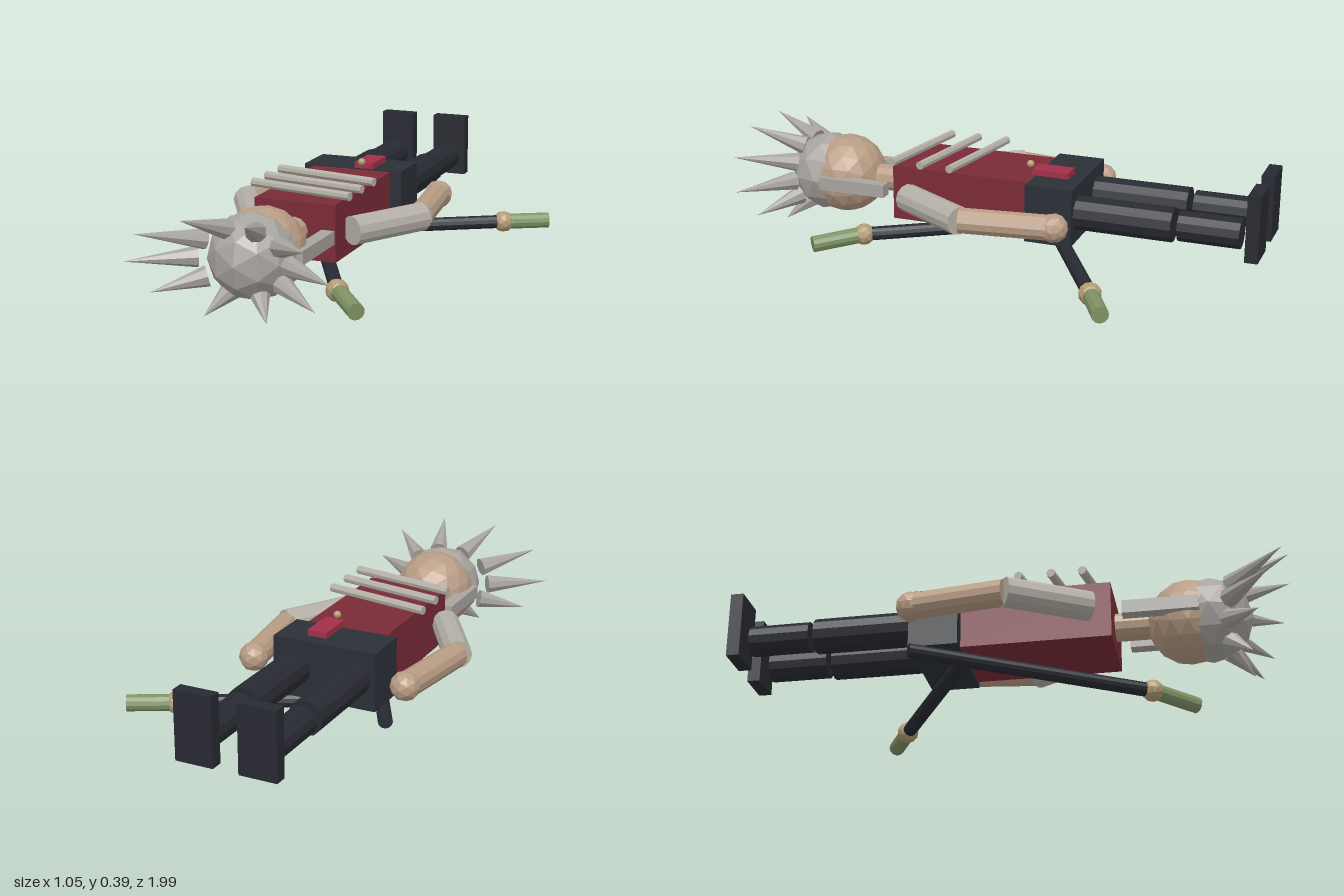
import * as THREE from 'three';

const paint = (color) => new THREE.MeshStandardMaterial({ color, flatShading: true });

export function createModel() {
  const model = new THREE.Group();
  model.name = 'lyingFigure';
  const CX = -0.135, CY = 0.215; // body axis

  const skin = paint(0xb89c84), hairGrey = paint(0xa8a49f), cloth = paint(0xb4afa6);
  const red = paint(0x7a2b37), dark = paint(0x282a32), slate = paint(0x2b3037);
  const crimson = paint(0xa32f49), brass = paint(0xb39c74), green = paint(0x7f9265);

  const add = (name, geometry, material, x = 0, y = 0, z = 0) => {
    const mesh = new THREE.Mesh(geometry, material);
    mesh.name = name;
    mesh.position.set(x, y, z);
    model.add(mesh);
    return mesh;
  };
  const box = (name, mat, w, h, d, x, y, z) => add(name, new THREE.BoxGeometry(w, h, d), mat, x, y, z);
  const ball = (name, mat, r, detail, x, y, z) => add(name, new THREE.IcosahedronGeometry(r, detail), mat, x, y, z);
  // Round bar from a to b; rb = 0 makes a spike
  const rod = (name, mat, a, b, ra, rb = ra, sides = 12) => {
    const from = new THREE.Vector3(...a), to = new THREE.Vector3(...b);
    const dir = to.clone().sub(from), mid = from.add(to).multiplyScalar(0.5);
    const mesh = add(name, new THREE.CylinderGeometry(rb, ra, dir.length(), sides), mat, mid.x, mid.y, mid.z);
    mesh.quaternion.setFromUnitVectors(new THREE.Vector3(0, 1, 0), dir.normalize());
    return mesh;
  };

  // Torso, hips and neck
  box('torso', red, 0.305, 0.205, 0.53, CX, 0.217, 0.11);
  box('hips', slate, 0.39, 0.213, 0.175, CX, 0.217, -0.245);
  rod('neck', skin, [CX, CY, 0.36], [CX, CY, 0.55], 0.05);

  // Head and spiky hair
  ball('head', skin, 0.15, 2, CX, CY, 0.635);
  ball('hair', hairGrey, 0.15, 1, CX, CY, 0.709);
  for (let i = 0; i < 10; i++) {
    const c = Math.cos((i * Math.PI) / 5), s = Math.sin((i * Math.PI) / 5);
    rod('hairSpike', hairGrey,
      [CX + 0.165 * c, CY + 0.11 * s, 0.78 + 0.01 * s],
      [CX + 0.363 * c, CY + 0.187 * s, 0.922 + 0.075 * s], 0.036, 0, 8);
  }

  // Mirrored limbs and side locks
  for (const side of [-1, 1]) {
    const label = side > 0 ? 'left' : 'right';
    const X = (offset) => CX + side * offset;
    box(label + 'SideLock', hairGrey, 0.048, 0.048, 0.265, X(0.14), CY, 0.545);
    rod(label + 'UpperArm', cloth, [X(0.345), CY, 0.035], [X(0.185), CY, 0.305], 0.052);
    rod(label + 'Forearm', skin, [X(0.338), CY, 0.035], [X(0.292), CY, -0.3], 0.047);
    ball(label + 'Hand', skin, 0.053, 1, X(0.292), CY, -0.3);
    rod(label + 'Thigh', dark, [X(0.114), 0.217, -0.33], [X(0.114), 0.217, -0.687], 0.063);
    rod(label + 'Shin', dark, [X(0.114), 0.217, -0.708], [X(0.114), 0.217, -0.928], 0.055);
    box(label + 'Foot', dark, 0.137, 0.243, 0.047, X(0.114), 0.26, -0.977);
  }

  // Slanted chest bands
  for (const z of [0.095, 0.21, 0.32]) {
    rod('chestBand', cloth, [CX - 0.2, 0.35, z - 0.037], [CX + 0.2, 0.35, z + 0.037], 0.016, 0.016, 8);
  }

  // Waist ornament and bead
  box('waistOrnament', crimson, 0.073, 0.022, 0.138, -0.086, 0.337, -0.216);
  ball('waistBead', brass, 0.014, 1, -0.086, 0.356, -0.128);

  // Two sheathed blades beneath the body
  const blade = (label, tip, guard, gripEnd) => {
    rod(label + 'Sheath', dark, tip, guard, 0.026);
    ball(label + 'Guard', brass, 0.041, 1, ...guard);
    rod(label + 'Grip', green, guard, gripEnd, 0.03);
  };
  blade('longBlade', [-0.365, 0.078, -0.32], [0.066, 0.052, 0.478], [0.195, 0.037, 0.628]);
  blade('shortBlade', [-0.27, 0.076, -0.14], [0.357, 0.077, -0.5], [0.512, 0.077, -0.584]);

  return model;
}
